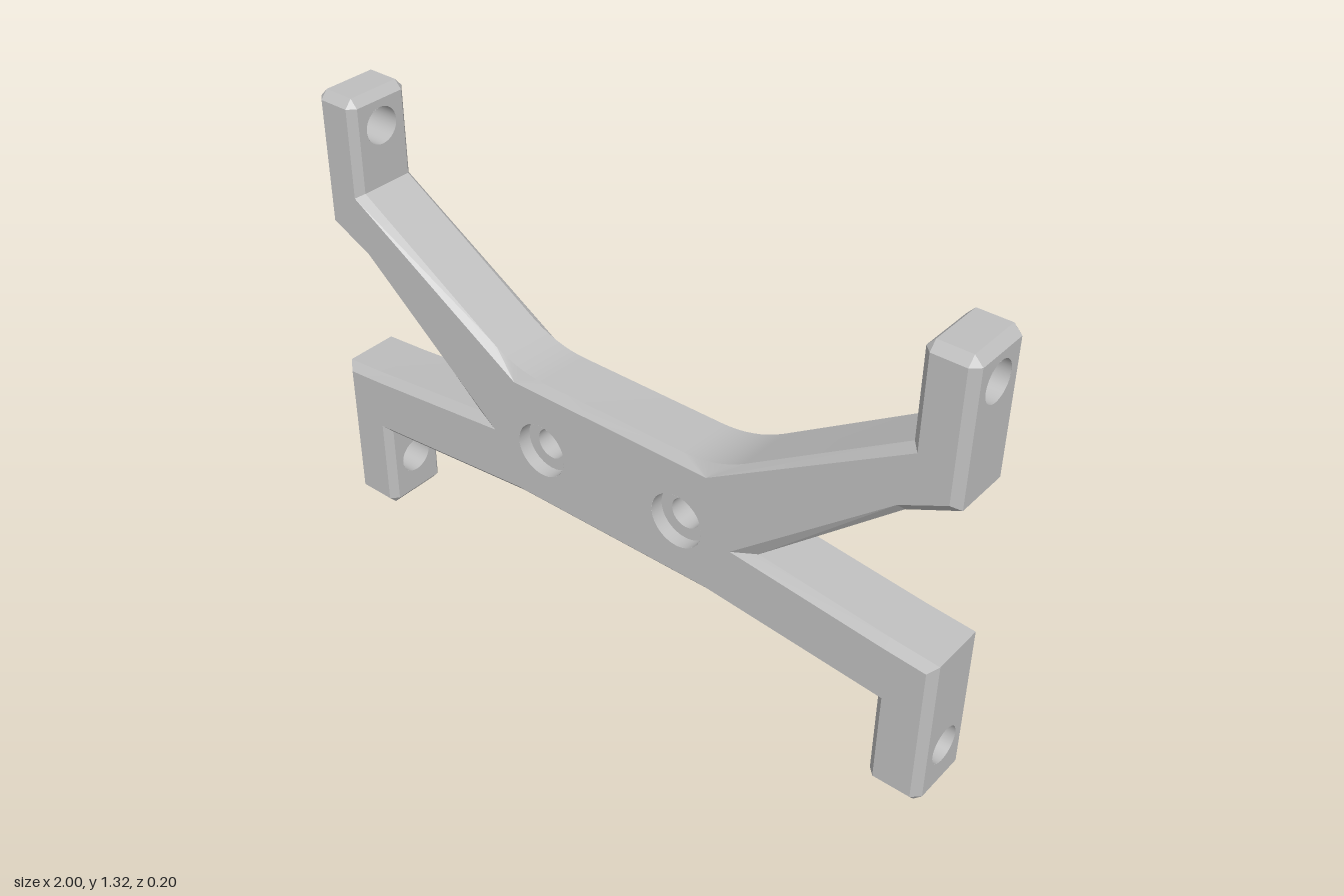
import * as THREE from 'three';
import { toCreasedNormals } from 'three/addons/utils/BufferGeometryUtils.js';

const FACE_Z = 0.1, WALL_Z = 0.079;      // flat faces, and where the chamfers meet the walls
const BOLT = { x: 0.23, y: 0.51, r: 0.045, bore: 0.08, depth: 0.04 };
const PIN_R = 0.053;

// Right half, anticlockwise: [outer x, outer y, inset x, inset y, pin hole height in the wall that starts here]
const HALF = [
  [0.32, 0.32, 0.32, 0.344],
  [0.847, 0.272, 0.868, 0.294, 0.142],
  [0.847, 0.024, 0.868, 0.024],
  [0.868, 0, 0.868, 0.024],
  [0.977, 0, 0.977, 0.024],
  [1, 0.024, 0.977, 0.024, 0.142],
  [1, 0.462, 0.977, 0.44],
  [0.86, 0.474, 0.86, 0.45],
  [0.473, 0.518, 0.4, 0.5],
  [0.86, 0.86, 0.85, 0.88],
  [1, 0.927, 0.977, 0.942, 1.225],
  [1, 1.3, 0.977, 1.3],
  [0.977, 1.324, 0.977, 1.3],
  [0.885, 1.324, 0.885, 1.3],
  [0.864, 1.3, 0.885, 1.3, 1.225],
  [0.864, 1.053, 0.885, 1.04],
];

function outline() {
  const half = HALF.map(([x, y, ix, iy, pin]) => ({ x, y, ix, iy, pin }));
  // rounded shoulder, whose chamfer runs to one sharp inset corner
  const arc = new THREE.QuadraticBezierCurve(
    new THREE.Vector2(0.42, 0.772), new THREE.Vector2(0.33, 0.716), new THREE.Vector2(0.23, 0.716));
  for (const p of arc.getPoints(8)) half.push({ x: p.x, y: p.y, ix: 0.32, iy: 0.692 });
  // mirrored half: a wall's pin belongs to the point that now starts it
  const left = half.map((p, i) => ({ x: -p.x, y: p.y, ix: -p.ix, iy: p.iy, pin: i ? half[i - 1].pin : undefined }));
  return [...half, ...left.reverse()];
}

function circle(x, y, r) {
  return new THREE.Path().absarc(x, y, r, 0, Math.PI * 2, true);
}

export function createModel() {
  const group = new THREE.Group();
  const grey = new THREE.MeshStandardMaterial({ color: 0xbfbfbf });
  grey.side = THREE.DoubleSide;
  const add = (name, geometry) => {
    const mesh = new THREE.Mesh(geometry, grey);
    mesh.name = name;
    group.add(mesh);
    return mesh;
  };

  // Side walls and chamfers around the outline
  const loop = outline(), pos = [];
  const quad = (a, b, c, d) => {
    for (const p of [a, b, c, a, c, d]) pos.push(...p);
  };
  loop.forEach((a, i) => {
    const b = loop[(i + 1) % loop.length];
    if (a.pin) {
      // flat end wall pierced by a pin hole
      const y0 = Math.min(a.y, b.y), y1 = Math.max(a.y, b.y);
      const s = new THREE.Shape([[-WALL_Z, y0], [WALL_Z, y0], [WALL_Z, y1], [-WALL_Z, y1]]
        .map(([u, v]) => new THREE.Vector2(u, v)));
      s.holes.push(circle(0, a.pin, PIN_R));
      const wall = new THREE.ShapeGeometry(s, 32);
      wall.rotateY(b.y > a.y ? Math.PI / 2 : -Math.PI / 2).translate(a.x, 0, 0);
      add('piercedWall', wall);
    } else {
      quad([a.x, a.y, -WALL_Z], [b.x, b.y, -WALL_Z], [b.x, b.y, WALL_Z], [a.x, a.y, WALL_Z]);
    }
    quad([a.x, a.y, WALL_Z], [b.x, b.y, WALL_Z], [b.ix, b.iy, FACE_Z], [a.ix, a.iy, FACE_Z]);
    quad([b.x, b.y, -WALL_Z], [a.x, a.y, -WALL_Z], [a.ix, a.iy, -FACE_Z], [b.ix, b.iy, -FACE_Z]);
  });
  const rim = new THREE.BufferGeometry();
  rim.setAttribute('position', new THREE.Float32BufferAttribute(pos, 3));
  add('chamferedRim', toCreasedNormals(rim, 0.14));

  // Front and back faces with the counterbore openings
  const inset = loop.filter((p, i) => {
    const q = loop[(i + 1) % loop.length];
    return p.ix !== q.ix || p.iy !== q.iy;
  });
  const face = new THREE.Shape(inset.map(p => new THREE.Vector2(p.ix, p.iy)));
  for (const s of [-1, 1]) face.holes.push(circle(s * BOLT.x, BOLT.y, BOLT.bore));
  const faceGeo = new THREE.ShapeGeometry(face, 32);
  add('frontFace', faceGeo).position.z = FACE_Z;
  const back = add('backFace', faceGeo);
  back.rotation.y = Math.PI;
  back.position.z = -FACE_Z;

  // Bolt holes, counterbored from both sides, as one turned profile
  const step = FACE_Z - BOLT.depth;
  const tube = (r, h) => new THREE.CylinderGeometry(r, r, h, 32, 1, true);
  for (const s of [-1, 1]) {
    const bolt = add('boltHole', tube(BOLT.r, step * 2).rotateX(Math.PI / 2));
    bolt.position.set(s * BOLT.x, BOLT.y, 0);
    for (const d of [-1, 1]) {
      const bore = add('counterbore', tube(BOLT.bore, BOLT.depth).rotateX(Math.PI / 2));
      bore.position.set(s * BOLT.x, BOLT.y, d * (FACE_Z - BOLT.depth / 2));
      const seat = add('counterboreSeat', new THREE.RingGeometry(BOLT.r, BOLT.bore, 32));
      seat.position.set(s * BOLT.x, BOLT.y, d * step);
      if (d < 0) seat.rotation.y = Math.PI;
    }
    // Pin holes through the upper and lower ends
    for (const [y, inner] of [[0.142, 0.847], [1.225, 0.864]]) {
      const pin = add('pinHole', tube(PIN_R, 1 - inner).rotateZ(Math.PI / 2));
      pin.position.set(s * (1 + inner) / 2, y, 0);
    }
  }
  return group;
}
